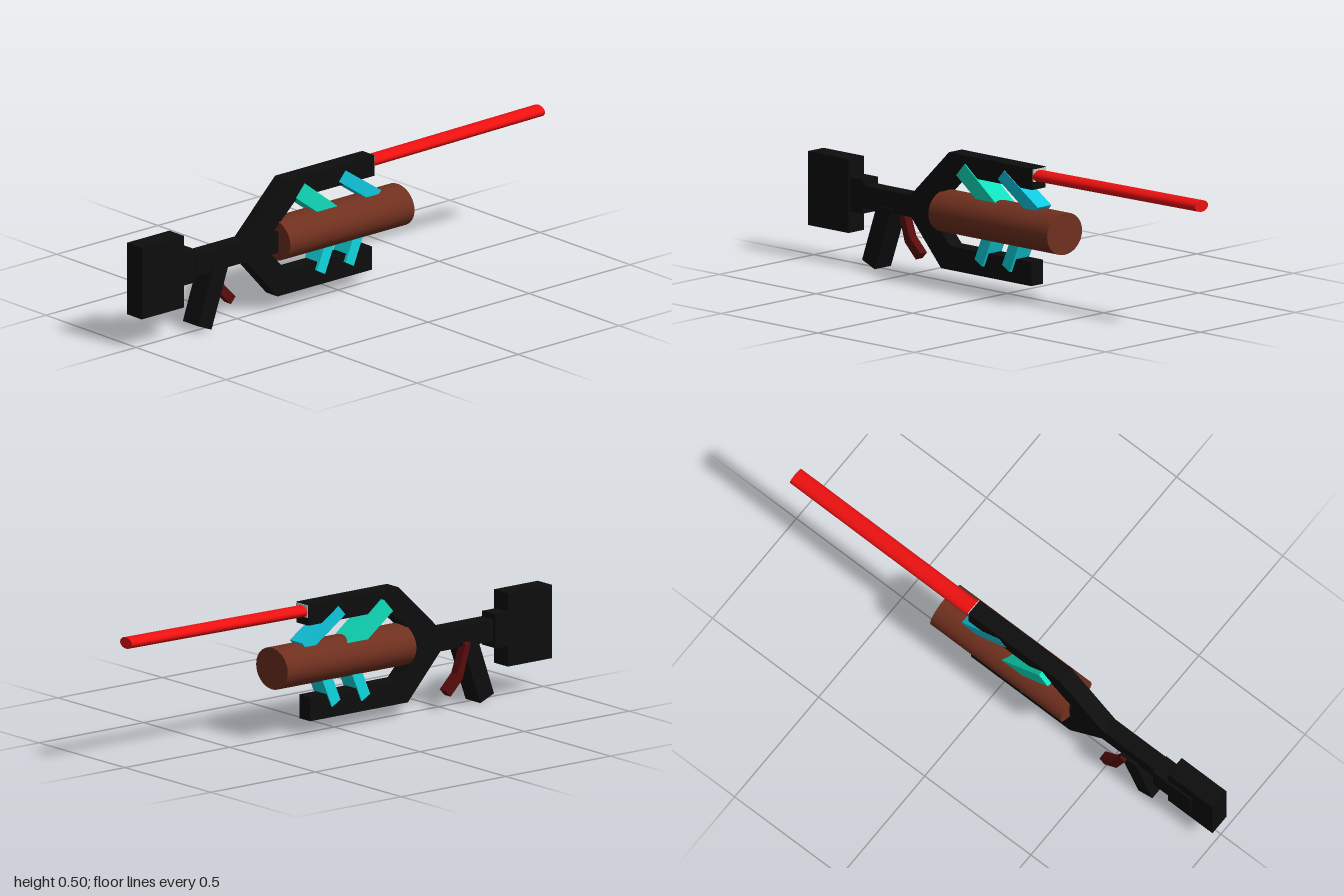
import * as THREE from 'three';

const mat = (color) => new THREE.MeshStandardMaterial({ color });

export function createModel() {
  const model = new THREE.Group();
  const black = mat(0x0d0d0d), maroon = mat(0x5a0c0c), brown = mat(0x70301f);
  const red = mat(0xee1010), teal = mat(0x10e0bc), blue = mat(0x10c8e0), cyan = mat(0x10d8e0), grey = mat(0xcccccc);

  // Flat side outline extruded between two depths
  function plate(name, points, zBack, zFront, material) {
    const shape = new THREE.Shape(points.map(([x, y]) => new THREE.Vector2(x, y)));
    const geo = new THREE.ExtrudeGeometry(shape, { depth: zFront - zBack, bevelEnabled: false });
    geo.translate(0, 0, zBack);
    const mesh = new THREE.Mesh(geo, material);
    mesh.name = name;
    model.add(mesh);
  }
  const rect = (x0, x1, y0, y1) => [[x0, y0], [x1, y0], [x1, y1], [x0, y1]];

  // Elliptical rod running along x, optionally with a slight rise
  function rod(name, x0, x1, y0, y1, z, ry, rz, material) {
    const dx = x1 - x0, dy = y1 - y0;
    const geo = new THREE.CylinderGeometry(1, 1, Math.hypot(dx, dy), 48);
    geo.rotateZ(-Math.PI / 2).scale(1, ry, rz);
    const mesh = new THREE.Mesh(geo, material);
    mesh.rotation.z = Math.atan2(dy, dx);
    mesh.position.set((x0 + x1) / 2, (y0 + y1) / 2, z);
    mesh.name = name;
    model.add(mesh);
  }

  // Stock and stem
  plate('buttStock', rect(-1, -0.79, 0.117, 0.396), -0.05, 0.032, black);
  plate('stockConnector', rect(-0.9, -0.725, 0.198, 0.326), -0.058, 0.022, black);
  plate('stem', rect(-0.725, -0.315, 0.222, 0.305), -0.041, 0.025, black);

  // Forked arms
  plate('upperArm', [[-0.48, 0.3], [-0.275, 0.497], [0.157, 0.497], [0.157, 0.417],
    [-0.225, 0.417], [-0.35, 0.305], [-0.42, 0.265]], -0.041, 0.027, black);
  plate('lowerArm', [[-0.475, 0.222], [-0.32, 0.052], [0.147, 0.052], [0.147, 0.143],
    [-0.275, 0.143], [-0.35, 0.222], [-0.42, 0.265]], -0.04, 0.023, black);
  plate('barrelMount', rect(0.15, 0.161, 0.447, 0.494), -0.04, 0.026, grey);

  // Grip and trigger
  plate('grip', [[-0.645, 0.24], [-0.568, 0.24], [-0.655, 0], [-0.72, 0.027]], -0.054, 0.032, black);
  plate('trigger', [[-0.6, 0.24], [-0.575, 0.24], [-0.535, 0.13], [-0.48, 0.075],
    [-0.503, 0.05], [-0.56, 0.107]], -0.066, -0.03, maroon);

  // Barrel and drum
  rod('barrel', 0.155, 1, 0.467, 0.475, -0.006, 0.0215, 0.034, red);
  rod('drum', -0.318, 0.297, 0.268, 0.268, 0, 0.079, 0.092, brown);

  // Slanted struts holding the drum
  plate('upperRearStrut', [[-0.233, 0.417], [-0.19, 0.465], [-0.015, 0.33], [-0.055, 0.285]], -0.06, 0.032, teal);
  plate('upperFrontStrut', [[-0.02, 0.433], [0.013, 0.47], [0.187, 0.355], [0.155, 0.315]], -0.042, 0.03, blue);
  for (const [name, x] of [['lowerRearStrut', 0], ['lowerFrontStrut', 0.142]]) {
    plate(name, [[-0.135, 0.114], [-0.095, 0.092], [-0.04, 0.22], [-0.09, 0.22]].map(([px, py]) => [px + x, py]),
      -0.046, 0.035, cyan);
  }
  return model;
}
